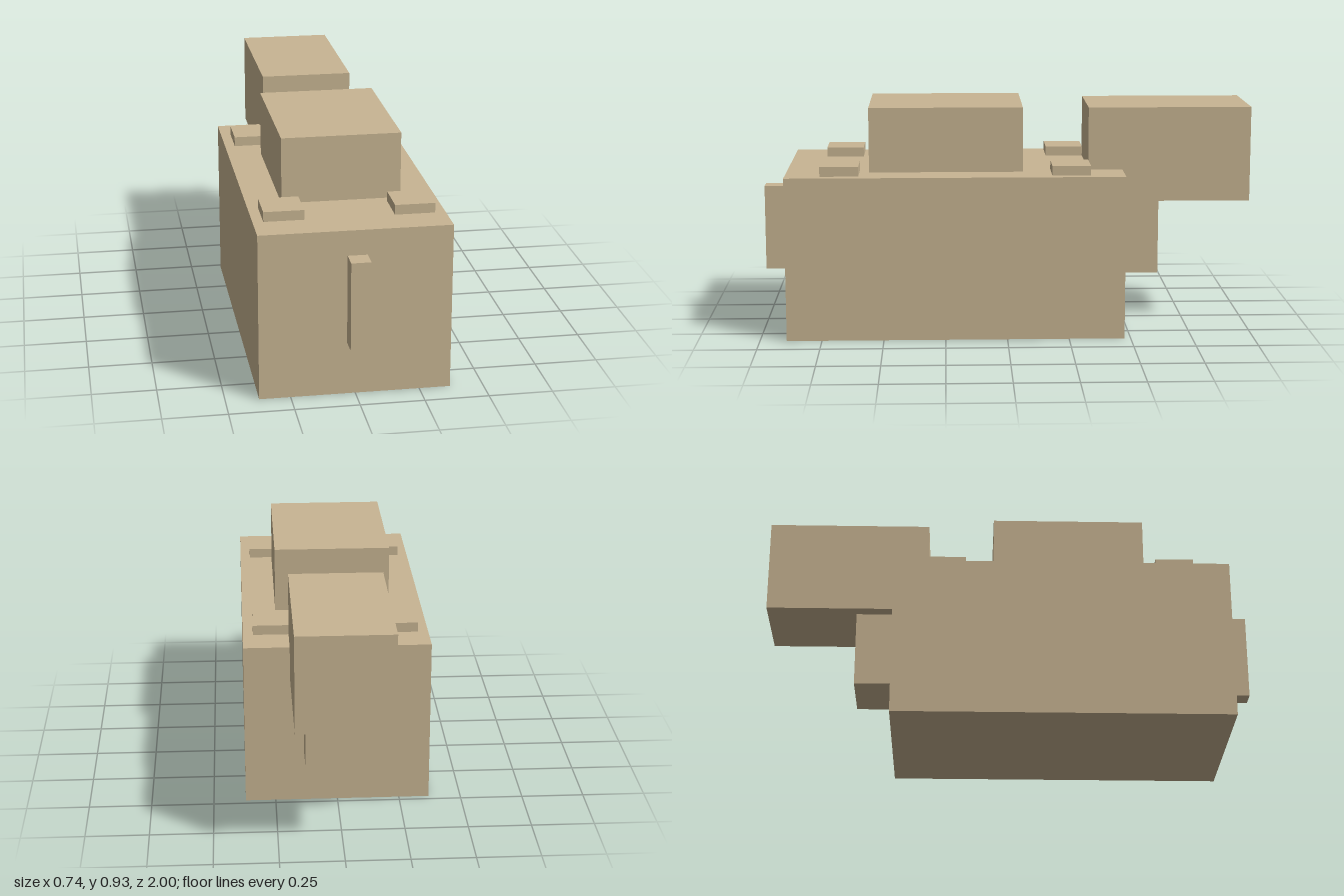
import * as THREE from 'three';

export function createModel() {
  const model = new THREE.Group();
  const tan = new THREE.MeshStandardMaterial({ color: 0xc8b593 });
  tan.name = 'tan';

  // Adds a block spanning the given [min, max] ranges
  function block(name, [x0, x1], [y0, y1], [z0, z1]) {
    const mesh = new THREE.Mesh(new THREE.BoxGeometry(x1 - x0, y1 - y0, z1 - z0), tan);
    mesh.position.set((x0 + x1) / 2, (y0 + y1) / 2, (z0 + z1) / 2);
    mesh.name = name;
    model.add(mesh);
  }

  // Main body and the raised housing on top
  block('body', [-0.371, 0.371], [0, 0.665], [-0.475, 0.892]);
  block('topHousing', [-0.234, 0.234], [0.665, 0.928], [-0.066, 0.557]);

  // Rear box overhanging the back, with its support below
  block('rearBox', [-0.188, 0.188], [0.533, 0.92], [-1, -0.336]);
  block('rearSupport', [-0.135, 0.135], [0.22, 0.533], [-0.632, -0.475]);

  // Upright bar standing just off the front face
  block('frontBar', [-0.038, 0.038], [0.225, 0.577], [0.922, 1]);

  // Four corner pads
  for (const side of [-1, 1]) {
    const x = side * 0.252;
    block('frontPad', [x - 0.078, x + 0.078], [0.665, 0.704], [0.596, 0.751]);
    block('rearPad', [x - 0.078, x + 0.078], [0.665, 0.704], [-0.336, -0.181]);
  }

  return model;
}
